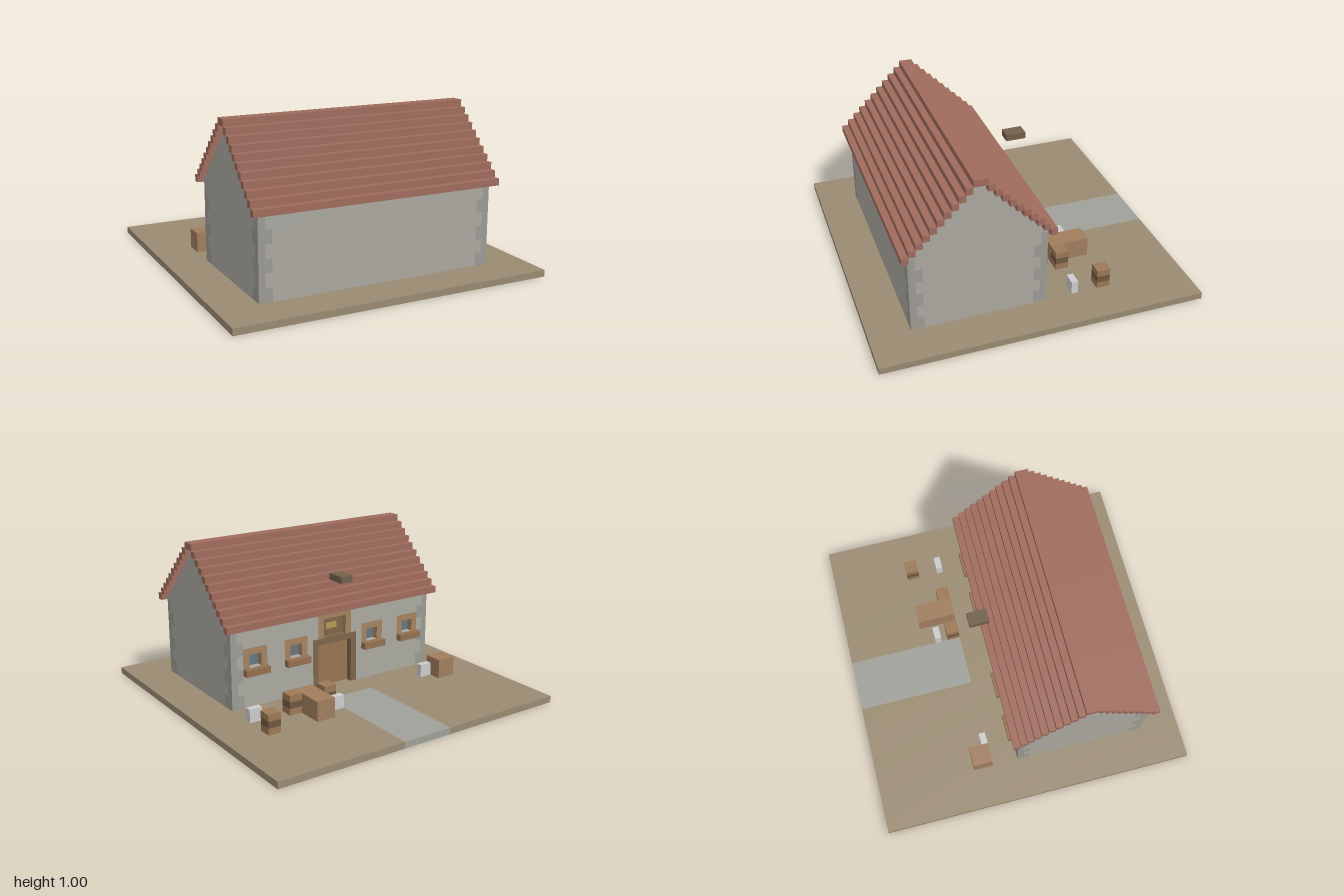
import * as THREE from 'three';

const U = 1 / 24; // edge length of one block
const COLORS = {
  ground: 0x9a8b72, path: 0xa0a09a, wall: 0xaaa8a0, cornerStones: 0x9b9a93,
  roofTiles: 0x9f6b5c, doorFrame: 0x7d6549, door: 0x97754f, windowFrame: 0xa5825f,
  windowSill: 0x94704f, windowPane: 0x667680, lamp: 0xb39a4e, awning: 0x71604b,
  crate: 0xa07d5d, barrel: 0x9c7857, barrelBand: 0x6f573f, bucket: 0xbfc0bc,
};

export function createModel() {
  const cells = new Map();
  const key = (x, y, z) => `${x},${y},${z}`;

  // Fill a range of blocks with a part; a null part clears them
  const fill = (part, x0, x1, y0, y1, z0, z1) => {
    for (let x = x0; x < x1; x++)
      for (let y = y0; y < y1; y++)
        for (let z = z0; z < z1; z++) {
          if (part) cells.set(key(x, y, z), { part, p: [x, y, z] });
          else cells.delete(key(x, y, z));
        }
  };
  // The same on both sides of x = 0
  const mirror = (part, x0, x1, ...rest) => {
    fill(part, x0, x1, ...rest);
    fill(part, -x1, -x0, ...rest);
  };

  // Ground and path
  fill('ground', -24, 24, 0, 1, -24, 24);
  fill('path', -4, 4, 0, 1, -24, -6);

  // Long walls and end walls
  fill('wall', -18, 18, 1, 14, 17, 18);
  fill('wall', -18, 18, 1, 14, -2, -1);
  mirror('wall', 17, 18, 1, 13, -2, 18);
  for (let i = 0; i < 11; i++) mirror('wall', 17, 18, 13 + i, 14 + i, -2 + i, 18 - i);

  // Alternating corner stones
  for (let y = 1; y < 13; y += 2) {
    const w = y % 4 === 1 ? 2 : 1;
    mirror('cornerStones', 18 - w, 18, y, y + 2, 17, 18);
    mirror('cornerStones', 18 - w, 18, y, y + 2, -2, -1);
    mirror('cornerStones', 17, 18, y, y + 2, 18 - w, 18);
    mirror('cornerStones', 17, 18, y, y + 2, -2, -2 + w);
  }

  // Stepped roof, one course per layer on each slope
  for (let i = 0; i < 11; i++) {
    fill('roofTiles', -19, 19, 13 + i, 14 + i, 18 - i, 19 - i);
    fill('roofTiles', -19, 19, 13 + i, 14 + i, -3 + i, -2 + i);
  }

  // Windows: frame, recessed pane and projecting sill
  for (const x of [5, 12]) {
    mirror('windowFrame', x, x + 4, 7, 10, -2, -1);
    mirror(null, x + 1, x + 3, 7, 9, -2, -1);
    mirror('windowPane', x + 1, x + 3, 7, 9, -1, 0);
    mirror('windowSill', x, x + 4, 6, 7, -3, -2);
  }

  // Recessed door with a small lit window above it
  fill('doorFrame', -4, 4, 1, 9, -2, -1);
  fill(null, -3, 3, 1, 8, -2, -1);
  fill('door', -3, 3, 1, 8, -1, 0);
  fill('windowFrame', -3, 3, 9, 13, -2, -1);
  fill(null, -2, 2, 9, 12, -2, -1);
  fill('doorFrame', -2, 2, 9, 12, -1, 0);
  fill('lamp', -1, 1, 10, 11, -1, 0);

  // Small block hanging in front of the roof
  fill('awning', -1, 1, 18, 19, -5, -2);

  // Crates
  fill('crate', -18, -15, 1, 4, -9, -6);
  fill('crate', 7, 10, 1, 4, -12, -6);
  // Banded barrels
  for (const [x, z] of [[4, -8], [10, -8], [16, -12]]) {
    fill('barrel', x, x + 2, 1, 4, z, z + 2);
    fill('barrelBand', x, x + 2, 2, 3, z, z + 2);
  }
  // Buckets
  for (const [x, z] of [[-15, -7], [4, -10], [16, -7]]) fill('bucket', x, x + 2, 1, 3, z, z + 1);

  // Gather the exposed faces of each part
  const positions = {};
  for (const { part, p } of cells.values()) {
    const out = (positions[part] ??= []);
    for (let a = 0; a < 3; a++)
      for (const s of [-1, 1]) {
        const n = [...p];
        n[a] += s;
        // Touching faces and open undersides are left out
        if (cells.has(key(...n)) || n[1] < 0) continue;
        if (part === 'awning' && a === 1 && s < 0) continue;
        const corner = (u, v) => {
          const c = [...p];
          if (s > 0) c[a] += 1;
          c[(a + 1) % 3] += u;
          c[(a + 2) % 3] += v;
          return c.map((t) => t * U);
        };
        const q = [corner(0, 0), corner(1, 0), corner(1, 1), corner(0, 1)];
        if (s < 0) q.reverse();
        for (const i of [0, 1, 2, 0, 2, 3]) out.push(...q[i]);
      }
  }

  // One mesh per part
  const model = new THREE.Group();
  model.name = 'house';
  for (const [name, points] of Object.entries(positions)) {
    const geometry = new THREE.BufferGeometry();
    geometry.setAttribute('position', new THREE.Float32BufferAttribute(points, 3));
    geometry.computeVertexNormals();
    const mesh = new THREE.Mesh(geometry, new THREE.MeshStandardMaterial({ color: COLORS[name], side: THREE.DoubleSide }));
    mesh.name = name;
    model.add(mesh);
  }
  return model;
}
